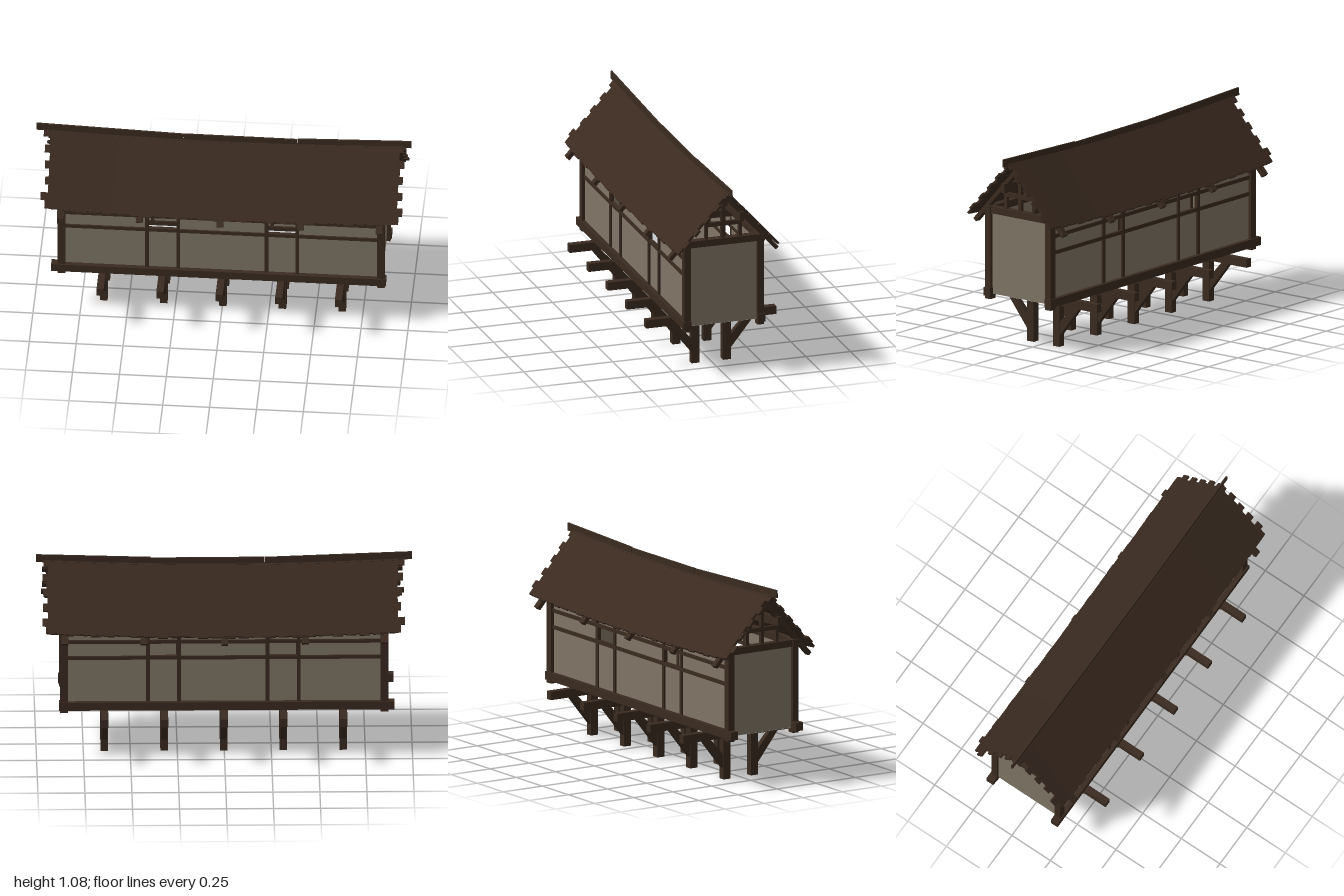
import * as THREE from 'three';

const paint = (name, color) => Object.assign(new THREE.MeshStandardMaterial({ color }), { name });

export function createModel() {
  const root = new THREE.Group();
  root.name = 'timberGallery';
  const wood = paint('dark timber', 0x3a2b20);
  const roofMat = paint('roof shingles', 0x3a2a20);
  const plaster = paint('plaster', 0x807666);
  const floorMat = paint('pale grey floor', 0xc8cbce);

  const add = (name, geo, mat, parent = root) => {
    const mesh = new THREE.Mesh(geo, mat);
    mesh.name = name;
    parent.add(mesh);
    return mesh;
  };
  // box from its minimum and maximum corners
  const box = (name, x0, x1, y0, y1, z0, z1, mat = wood, parent = root) => {
    const m = add(name, new THREE.BoxGeometry(x1 - x0, y1 - y0, z1 - z0), mat, parent);
    m.position.set((x0 + x1) / 2, (y0 + y1) / 2, (z0 + z1) / 2);
    return m;
  };
  // same box on the front (s = 1) or back (s = -1)
  const sideBox = (s, name, x0, x1, y0, y1, z0, z1) =>
    box(name, x0, x1, y0, y1, Math.min(s * z0, s * z1), Math.max(s * z0, s * z1));

  // floor and plastered end walls
  box('floor', -0.85, 0.85, 0.282, 0.292, -0.2, 0.2, floorMat);
  for (const x of [-0.85, 0.85]) box('endWall', x - 0.005, x + 0.005, 0.285, 0.74, -0.195, 0.195, plaster);

  // long walls with two window openings
  const wall = new THREE.Shape();
  wall.moveTo(-0.85, 0.285).lineTo(0.85, 0.285).lineTo(0.85, 0.74).lineTo(-0.85, 0.74).closePath();
  for (const [x0, x1] of [[-0.395, -0.23], [0.24, 0.405]]) {
    const hole = new THREE.Path();
    hole.moveTo(x0, 0.565).lineTo(x0, 0.655).lineTo(x1, 0.655).lineTo(x1, 0.565).closePath();
    wall.holes.push(hole);
  }
  const wallGeo = new THREE.ExtrudeGeometry(wall, { depth: 0.01, bevelEnabled: false });

  // timber frame
  for (const s of [1, -1]) {
    add('longWall', wallGeo, plaster).position.z = s * 0.2 - 0.005;
    sideBox(s, 'sillBeam', -0.905, 0.88, 0.273, 0.318, 0.186, 0.23);
    sideBox(s, 'wallPlate', -0.875, 0.875, 0.728, 0.766, 0.188, 0.228);
    for (const y of [0.565, 0.655]) sideBox(s, 'rail', -0.85, 0.85, y - 0.01, y + 0.01, 0.193, 0.213);
    for (const x of [-0.395, -0.228, 0.242, 0.407])
      sideBox(s, 'stud', x - 0.01, x + 0.01, 0.3, 0.74, 0.193, 0.214);
    for (const x of [-0.85, 0.853]) sideBox(s, 'cornerPost', x - 0.021, x + 0.021, 0.257, 0.764, 0.187, 0.223);
  }

  // supports: post, arm and diagonal brace
  const brace = new THREE.Shape();
  brace.moveTo(0.108, 0.06).lineTo(0.24, 0.226).lineTo(0.19, 0.226).lineTo(0.108, 0.135).closePath();
  const braceGeo = new THREE.ExtrudeGeometry(brace, { depth: 0.03, bevelEnabled: false });
  braceGeo.translate(0, 0, -0.015).rotateY(-Math.PI / 2);
  for (const x of [-0.633, -0.314, 0.002, 0.32, 0.638]) for (const s of [1, -1]) {
    const bracket = new THREE.Group();
    bracket.name = 'bracket';
    bracket.position.x = x;
    bracket.rotation.y = s > 0 ? 0 : Math.PI;
    box('bracketPost', -0.02, 0.02, 0, 0.272, 0.065, 0.11, wood, bracket);
    box('bracketArm', -0.019, 0.019, 0.225, 0.27, 0.105, 0.365, wood, bracket);
    add('bracketBrace', braceGeo, wood, bracket);
    root.add(bracket);
  }

  // the roof sags towards the middle
  const ANGLE = 0.835, PEAK = 1.025, LENGTH = 0.425;
  const sag = (x) => 0.027 * x * x;
  const bend = (geo) => {
    const p = geo.attributes.position;
    for (let i = 0; i < p.count; i++) p.setY(i, p.getY(i) + sag(p.getX(i)));
    geo.computeVertexNormals();
    return geo;
  };
  // slab lying on a roof slope, between distances d0 and d1 from the ridge
  const slope = (s, name, x0, x1, d0, d1, drop, thick, mat, segments = 1) => {
    const geo = new THREE.BoxGeometry(x1 - x0, thick, d1 - d0, segments, 1, 1);
    geo.translate((x0 + x1) / 2, -drop - thick / 2, s * (d0 + d1) / 2);
    geo.rotateX(s * ANGLE).translate(0, PEAK, 0);
    return add(name, bend(geo), mat);
  };

  // roof sheet with ragged shingles along both ends and the eave
  const leftEnds = [0.96, 0.925, 0.95, 0.922, 0.945, 0.922, 0.94, 0.922, 0.96, 0.937];
  const rightEnds = [0.96, 0.94, 0.967, 0.945, 0.963, 0.94, 0.965, 0.94, 0.969, 0.95];
  const step = LENGTH / leftEnds.length;
  for (const s of [1, -1]) {
    slope(s, 'roofSheet', -0.918, 0.932, 0, LENGTH, 0, 0.014, roofMat, 20);
    leftEnds.forEach((end, i) => {
      slope(s, 'endShingle', -end, -0.91, i * step, (i + 1) * step, 0.001, 0.012, roofMat);
      slope(s, 'endShingle', 0.925, rightEnds[i], i * step, (i + 1) * step, 0.001, 0.012, roofMat);
    });
    for (let i = 0; i < 26; i++) {
      const x = -0.915 + i * 0.0715;
      slope(s, 'eaveShingle', x, x + 0.055, LENGTH - 0.02, LENGTH + 0.002 + ((i * 7) % 5) * 0.0015, 0.002, 0.011, roofMat);
    }
  }

  // roof trusses
  for (const x of [-0.85, -0.43, 0, 0.43, 0.85]) {
    const tail = Math.abs(x) > 0.8 ? 0.476 : 0.463;
    box('tieBeam', x - 0.02, x + 0.02, 0.728, 0.765, -0.225, 0.225);
    box('kingPost', x - 0.01, x + 0.01, 0.76, 0.99, -0.01, 0.01);
    box('collar', x - 0.009, x + 0.009, 0.832, 0.855, -0.095, 0.095);
    for (const s of [1, -1]) {
      sideBox(s, 'queenPost', x - 0.01, x + 0.01, 0.76, 0.87, 0.086, 0.104);
      slope(s, 'rafter', x - 0.018, x + 0.018, 0.01, tail, 0.015, 0.022, wood);
    }
  }

  // ridge beam and purlins, bent with the roof
  const lengthwise = (name, y0, y1, z0, z1) => {
    const geo = new THREE.BoxGeometry(1.77, y1 - y0, z1 - z0, 16, 1, 1);
    add(name, bend(geo.translate(0, (y0 + y1) / 2 - 0.015, (z0 + z1) / 2)), wood);
  };
  lengthwise('ridgeBeam', 0.945, 1.003, -0.013, 0.013);
  lengthwise('purlin', 0.85, 0.9, 0.083, 0.107);
  lengthwise('purlin', 0.85, 0.9, -0.107, -0.083);

  // three ridge boards standing on the peak
  for (const [x0, y0, x1, y1] of [[-1, 1.062, -0.215, 1.034], [-0.213, 1.035, 0.39, 1.033], [0.392, 1.037, 1, 1.055]]) {
    const board = add('ridgeBoard', new THREE.BoxGeometry(Math.hypot(x1 - x0, y1 - y0), 0.042, 0.009), wood);
    board.position.set((x0 + x1) / 2, (y0 + y1) / 2, 0);
    board.rotation.z = Math.atan2(y1 - y0, x1 - x0);
  }
  return root;
}
